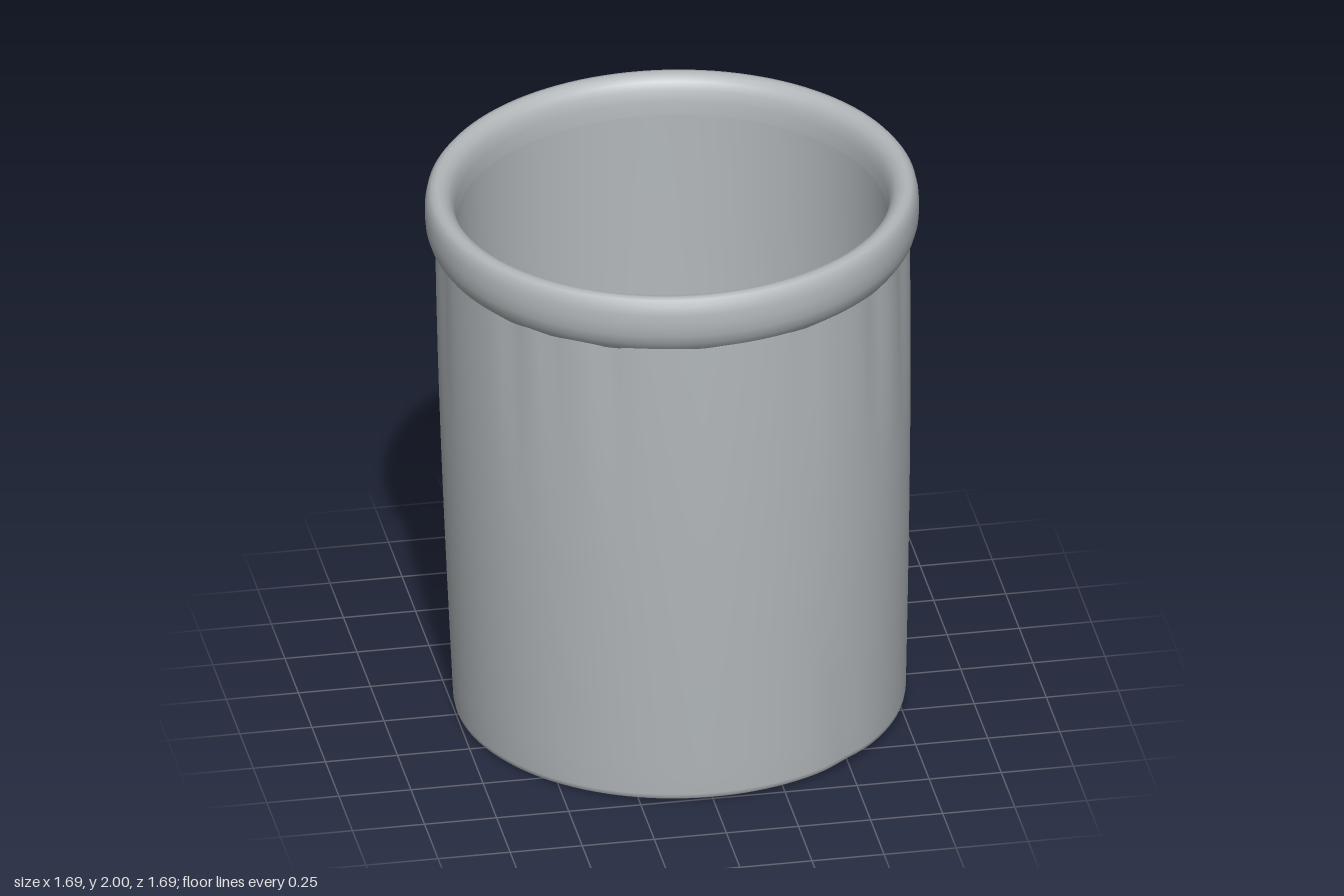
import * as THREE from 'three';

const clay = new THREE.MeshStandardMaterial({ color: 0xb2b7ba });
clay.name = 'plain grey';

// Soft grooves in the outer wall: angle from the front, depth, fading start height, slope of height
const GROOVES = [
  [-0.93, 0.010], [-0.72, 0.007], [-0.45, 0.011], [-0.06, 0.006], [0.41, 0.006], [0.85, 0.012], [1.14, 0.011],
  [1.69, 0.008], [2.4, 0.006], [-2.84, 0.011], [-3.08, 0.008], [-2.14, 0.009], [-1.5, 0.007],
];

function dent(phi, y) {
  const bump = (a, w) => {
    const d = Math.atan2(Math.sin(phi - a), Math.cos(phi - a));
    return Math.exp(-((d / w) ** 2));
  };
  const high = THREE.MathUtils.smoothstep(y, 0.9, 1.75);
  const low = 1 - THREE.MathUtils.smoothstep(y, 0.05, 0.55);
  let depth = 0.008 * low * bump(0.66 - 0.3 * y, 0.1);
  for (const [a, d] of GROOVES) depth += d * high * bump(a, 0.06);
  return depth;
}

// Lean the pot slightly, as if thrown by hand
function lean(geometry, grooved = false) {
  const p = geometry.attributes.position;
  for (let i = 0; i < p.count; i++) {
    let x = p.getX(i), z = p.getZ(i);
    const y = p.getY(i);
    if (grooved) {
      const r = Math.hypot(x, z), k = 1 - dent(Math.atan2(x, z), y) / r;
      x *= k;
      z *= k;
    }
    p.setXYZ(i, x + 0.025 * (1 - y / 1.8), y + 0.017 * x, z);
  }
  return geometry;
}

// Revolve a smooth profile of [radius, height] pairs
function turned(name, profile, grooved) {
  const points = profile.map(([r, y]) => new THREE.Vector2(r, y));
  const geometry = lean(new THREE.LatheGeometry(points, 120), grooved);
  if (grooved) {
    // Recompute shading for the grooves and join the seam normals
    geometry.computeVertexNormals();
    const n = geometry.attributes.normal, rows = points.length, last = n.count - rows;
    for (let j = 0; j < rows; j++) {
      const v = new THREE.Vector3().fromBufferAttribute(n, j)
        .add(new THREE.Vector3().fromBufferAttribute(n, last + j)).normalize();
      n.setXYZ(j, v.x, v.y, v.z);
      n.setXYZ(last + j, v.x, v.y, v.z);
    }
  }
  const mesh = new THREE.Mesh(geometry, clay);
  mesh.name = name;
  return mesh;
}

export function createModel() {
  const pot = new THREE.Group();
  pot.name = 'pot';

  // Outer wall, flaring gently upwards
  const wall = [[0.762, 0.014], [0.769, 0.02], [0.772, 0.035]];
  for (let i = 1; i <= 16; i++) {
    const t = i / 16;
    wall.push([0.772 + 0.037 * Math.sin(t * Math.PI / 2), 0.035 + 1.775 * t]);
  }
  pot.add(turned('outerWall', wall, true));

  // Flat underside
  pot.add(turned('underside', [[0, 0.014], [0.4, 0.014], [0.762, 0.014]]));

  // Rolled rim
  pot.add(turned('rim', [
    [0.8, 1.775], [0.812, 1.79], [0.829, 1.815], [0.84, 1.85], [0.843, 1.89], [0.841, 1.93],
    [0.834, 1.962], [0.82, 1.98], [0.802, 1.985], [0.782, 1.98], [0.762, 1.965],
    [0.747, 1.94], [0.738, 1.9], [0.735, 1.85],
  ]));

  // Hollow inside, with a rounded corner down to the floor
  pot.add(turned('innerWall', [
    [0.735, 1.85], [0.732, 1.6], [0.724, 1.1], [0.712, 0.6], [0.702, 0.25],
    [0.694, 0.17], [0.675, 0.125], [0.645, 0.105], [0.6, 0.1],
  ]));
  pot.add(turned('floor', [[0.6, 0.1], [0.3, 0.1], [0, 0.1]]));

  return pot;
}
